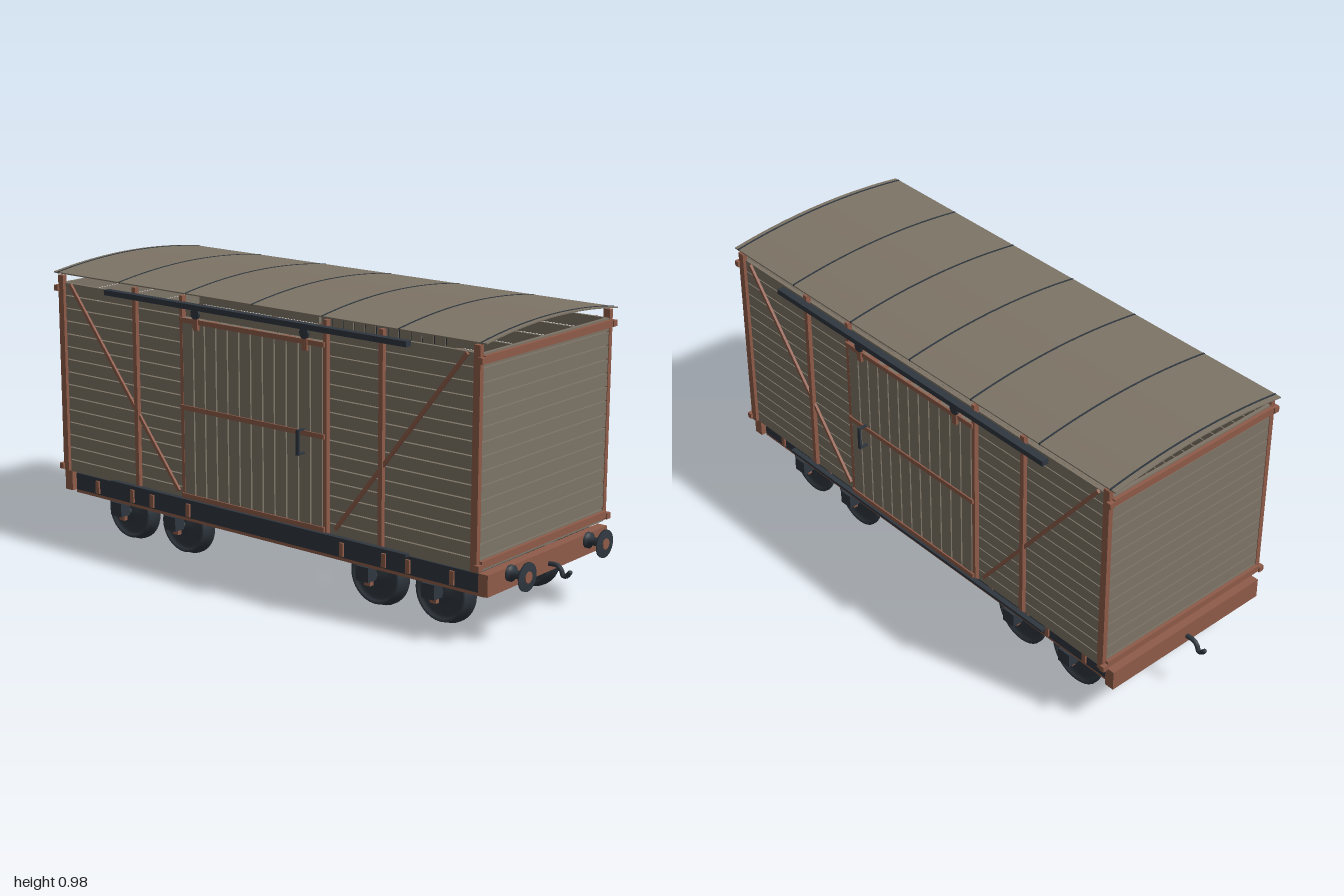
import * as THREE from 'three';

export function createModel() {
  const model = new THREE.Group();
  model.name = 'boxcar';
  const mat = (name, color, side = THREE.FrontSide) => {
    const m = new THREE.MeshStandardMaterial({ color, side });
    m.name = name;
    return m;
  };
  const wood = mat('weathered wood', 0x7d7466, THREE.DoubleSide);
  const rust = mat('rust brown', 0x8f5b49);
  const iron = mat('dark iron', 0x2f373f, THREE.DoubleSide);

  const add = (name, geo, material, parent = model) => {
    const m = new THREE.Mesh(geo, material);
    m.name = name;
    parent.add(m);
    return m;
  };
  // Box given by its lower and upper limits on each axis
  const box = (name, material, [x0, x1], [y0, y1], [z0, z1], parent = model) => {
    const m = add(name, new THREE.BoxGeometry(x1 - x0, y1 - y0, z1 - z0), material, parent);
    m.position.set((x0 + x1) / 2, (y0 + y1) / 2, (z0 + z1) / 2);
    return m;
  };
  // Limits mirrored to the side s = 1 or -1
  const flip = (s, a, b) => (s > 0 ? [a, b] : [-b, -a]);
  const group = (name) => {
    const g = new THREE.Group();
    g.name = name;
    model.add(g);
    return g;
  };

  // Horizontal wall planks with narrow gaps
  const planks = 15, bottom = 0.24, pitch = 0.045, gap = 0.004;
  const walls = group('wallPlanks');
  for (let i = 0; i < planks; i++) {
    const y = [bottom + i * pitch + gap / 2, bottom + (i + 1) * pitch - gap / 2];
    for (const s of [1, -1]) {
      box('endPlank', wood, flip(s, 0.878, 0.89), y, [-0.343, 0.343], walls);
      for (const t of [1, -1]) box('sidePlank', wood, flip(t, 0.3, 0.878), y, flip(s, 0.333, 0.345), walls);
    }
  }
  for (const s of [1, -1]) box('doorLintel', wood, [-0.3, 0.3], [0.866, 0.913], flip(s, 0.333, 0.345), walls);

  // Floor boards
  const floor = group('floorBoards');
  for (let i = 0; i < 14; i++) {
    const z = -0.333 + i * 0.0476;
    box('floorBoard', wood, [-0.88, 0.88], [0.238, 0.248], [z, z + 0.045], floor);
  }

  // Both long sides: posts, braces, door, rails, frame
  for (const s of [1, -1]) {
    const side = group(s > 0 ? 'frontSide' : 'backSide');
    for (const t of [1, -1]) {
      box('cornerPost', rust, flip(t, 0.868, 0.892), [0.245, 0.94], flip(s, 0.34, 0.357), side);
      box('doorPost', rust, flip(t, 0.3, 0.313), [0.245, 0.94], flip(s, 0.343, 0.362), side);
      box('sidePost', rust, flip(t, 0.517, 0.533), [0.245, 0.94], flip(s, 0.343, 0.36), side);
      const dx = 0.5, dy = 0.64;
      const brace = add('diagonalBrace', new THREE.BoxGeometry(0.012, Math.hypot(dx, dy), 0.01), rust, side);
      brace.position.set(t * 0.59, 0.59, s * 0.349);
      brace.rotation.z = -t * Math.atan2(dx, dy);
      for (const y of [0.26, 0.895]) {
        box('cornerBolt', rust, flip(t, 0.888, 0.905), [y - 0.01, y + 0.01], flip(s, 0.345, 0.365), side);
      }
      // Door hangers
      box('doorHanger', rust, flip(t, 0.222, 0.242), [0.835, 0.88], flip(s, 0.364, 0.374), side);
      const roller = add('doorRoller', new THREE.CylinderGeometry(0.018, 0.018, 0.008, 16), iron, side);
      roller.rotation.x = Math.PI / 2;
      roller.position.set(t * 0.232, 0.89, s * 0.372);
    }
    // Sliding door
    box('doorBacking', iron, [-0.3, 0.3], [0.258, 0.868], flip(s, 0.346, 0.351), side);
    for (let i = 0; i < 12; i++) {
      const x = -0.3 + i * 0.05;
      box('doorPlank', wood, [x + 0.003, x + 0.047], [0.258, 0.87], flip(s, 0.343, 0.364), side);
    }
    for (const y of [0.265, 0.568, 0.862]) {
      box('doorBand', rust, [-0.308, 0.308], [y - 0.008, y + 0.008], flip(s, 0.352, 0.369), side);
    }
    // Door handle bent out from the planks
    for (const y of [0.503, 0.58]) box('handleArm', iron, [0.217, 0.227], [y - 0.003, y + 0.003], flip(s, 0.36, 0.395), side);
    box('handleGrip', iron, [0.216, 0.228], [0.5, 0.583], flip(s, 0.39, 0.397), side);
    // Door tracks
    box('topTrack', iron, [-0.64, 0.64], [0.904, 0.922], flip(s, 0.36, 0.385), side);
    box('bottomTrack', iron, [-0.64, 0.64], [0.246, 0.255], flip(s, 0.358, 0.376), side);
    // Sole bar, lower strip and brackets
    box('soleBar', iron, [-0.885, 0.885], [0.165, 0.225], flip(s, 0.275, 0.31), side);
    box('soleStrip', rust, [-0.885, 0.885], [0.153, 0.165], flip(s, 0.288, 0.306), side);
    for (const t of [1, -1]) for (const x of [0.335, 0.505, 0.6, 0.77]) {
      box('soleBracket', rust, flip(t, x - 0.008, x + 0.008), [0.17, 0.215], flip(s, 0.308, 0.317), side);
    }
  }

  // Ends: cross rails, buffer beam, coupling hook
  for (const t of [1, -1]) {
    const end = group(t > 0 ? 'leftEnd' : 'rightEnd');
    box('topRail', rust, flip(t, 0.888, 0.902), [0.884, 0.908], [-0.343, 0.343], end);
    box('bottomRail', rust, flip(t, 0.888, 0.902), [0.255, 0.278], [-0.343, 0.343], end);
    box('bufferBeam', rust, flip(t, 0.88, 0.915), [0.165, 0.235], [-0.33, 0.33], end);
    const path = new THREE.CatmullRomCurve3([[0.91, 0.19], [0.945, 0.19], [0.96, 0.178], [0.968, 0.161], [0.98, 0.163], [0.992, 0.176]]
      .map(([x, y]) => new THREE.Vector3(t * x, y, 0)));
    add('couplingHook', new THREE.TubeGeometry(path, 20, 0.008, 8), iron, end);
    const tip = add('hookTip', new THREE.SphereGeometry(0.008, 8, 6), iron, end);
    tip.position.set(t * 0.992, 0.176, 0);
  }

  // Buffers on one end only
  const buffers = group('buffers');
  const bufferProfile = [[0.026, 0], [0.026, 0.012], [0.014, 0.016], [0.014, 0.058], [0.046, 0.062], [0.046, 0.068], [0, 0.07]]
    .map(([r, y]) => new THREE.Vector2(r, y));
  for (const s of [1, -1]) {
    const b = add('buffer', new THREE.LatheGeometry(bufferProfile, 24), iron, buffers);
    b.rotation.z = -Math.PI / 2;
    b.position.set(0.914, 0.215, s * 0.215);
    const cap = add('bufferCap', new THREE.CylinderGeometry(0.018, 0.018, 0.004, 20), rust, buffers);
    cap.rotation.z = Math.PI / 2;
    cap.position.set(0.984, 0.215, s * 0.215);
  }

  // Wheelsets: dished wheels with a flange, axle and axle boxes
  const wheelProfile = [[0, 0.006], [0.03, 0.006], [0.09, 0.014], [0.094, 0], [0.108, 0], [0.108, 0.012], [0.098, 0.014],
    [0.097, 0.044], [0.086, 0.044], [0.08, 0.03], [0.03, 0.038], [0.022, 0.045], [0, 0.045]]
    .map(([r, y]) => new THREE.Vector2(r, y));
  const wheelGeo = new THREE.LatheGeometry(wheelProfile, 32);
  for (const x of [-0.68, -0.42, 0.42, 0.68]) {
    const set = group('wheelset');
    set.position.set(x, 0.11, 0);
    for (const z of [0.205, -0.258]) {
      const w = add('wheel', wheelGeo, iron, set);
      w.rotation.x = Math.PI / 2;
      w.position.z = z;
    }
    const axle = add('axle', new THREE.CylinderGeometry(0.012, 0.012, 0.58, 16), iron, set);
    axle.rotation.x = Math.PI / 2;
    for (const s of [1, -1]) {
      box('axleBox', iron, [-0.025, 0.025], [-0.005, 0.044], flip(s, 0.272, 0.315), set);
      box('axleGuard', rust, [-0.012, 0.012], [-0.026, 0.055], flip(s, 0.272, 0.288), set);
    }
  }

  // Underfloor tank
  const tank = add('tank', new THREE.CapsuleGeometry(0.04, 0.29, 6, 24), iron);
  tank.rotation.z = Math.PI / 2;
  tank.position.set(0, 0.115, 0);

  // Curved roof sheet with seams, extruded along x
  const roofStrip = (name, material, x0, x1, lift, thick) => {
    const half = 0.355, rise = 0.027, n = 24;
    const arc = (z, o) => new THREE.Vector2(-z, 0.945 + rise * (1 - (z / half) ** 2) + o);
    const pts = [];
    for (let i = 0; i <= n; i++) pts.push(arc(-half + (2 * half * i) / n, lift));
    for (let i = n; i >= 0; i--) pts.push(arc(-half + (2 * half * i) / n, lift + thick));
    const geo = new THREE.ExtrudeGeometry(new THREE.Shape(pts), { depth: x1 - x0, bevelEnabled: false });
    geo.rotateY(Math.PI / 2);
    geo.translate(x0, 0, 0);
    return add(name, geo, material);
  };
  roofStrip('roof', wood, -0.915, 0.912, 0, 0.004);
  for (const x of [-0.893, -0.595, -0.29, 0, 0.29, 0.59, 0.893]) {
    roofStrip('roofSeam', iron, x - 0.003, x + 0.003, -0.001, 0.0065);
  }
  return model;
}
